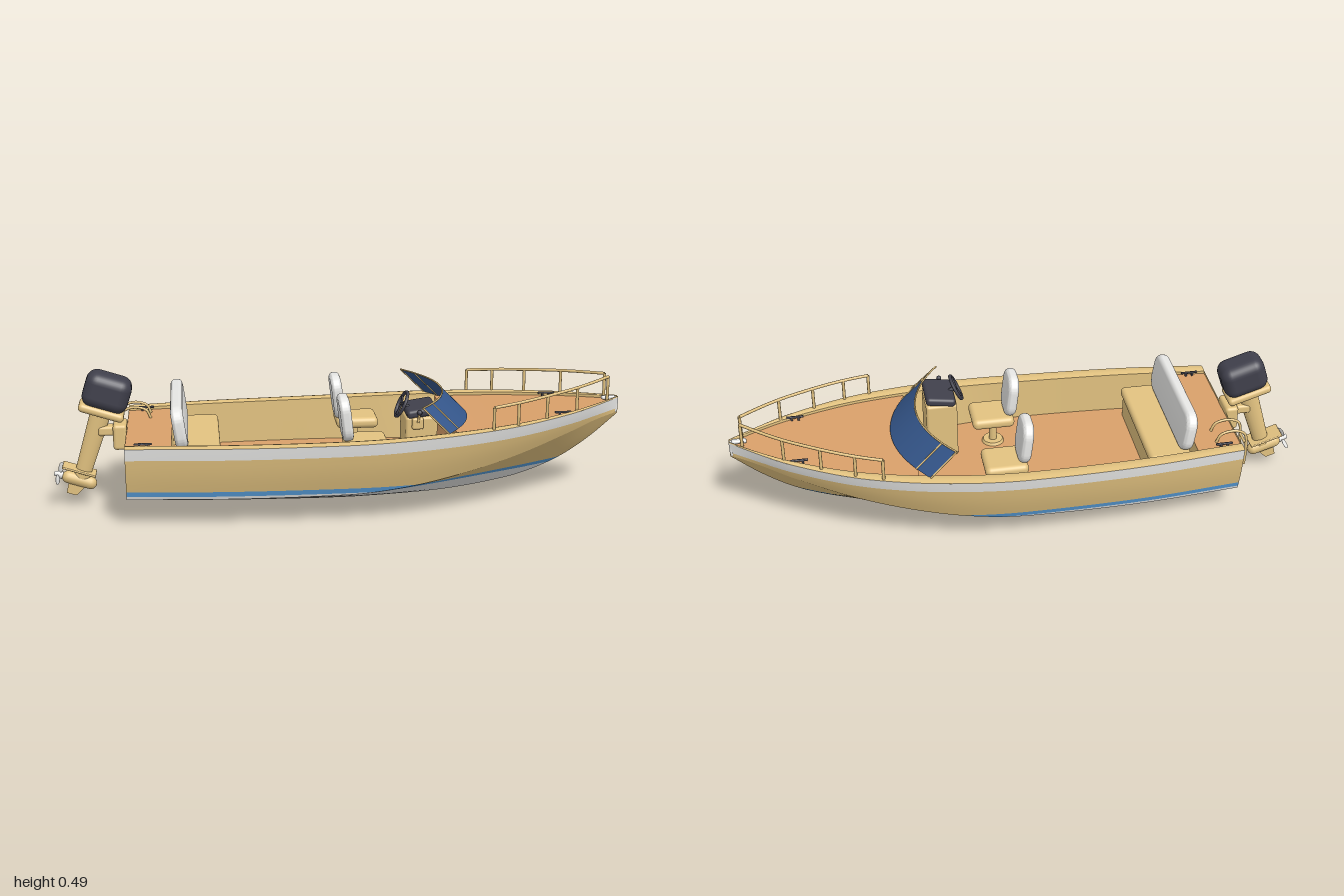
import * as THREE from 'three';
import { RoundedBoxGeometry } from 'three/addons/geometries/RoundedBoxGeometry.js';
import { toCreasedNormals } from 'three/addons/utils/BufferGeometryUtils.js';

const paint = (name, color) => new THREE.MeshStandardMaterial({ name, color, side: THREE.DoubleSide });
const tan = paint('tan', 0xe2c280), white = paint('white', 0xe9e9e7), blue = paint('stripeBlue', 0x589edb);
const wood = paint('deckBrown', 0xd9a06a), navy = paint('screenNavy', 0x35578c), dark = paint('charcoal', 0x40404c);

// Smooth curve through [x, value] points
function curve(p) {
  const slope = i => {
    const a = p[Math.max(i - 1, 0)], b = p[Math.min(i + 1, p.length - 1)];
    return (b[1] - a[1]) / (b[0] - a[0]);
  };
  return x => {
    let i = 0;
    while (i < p.length - 2 && x > p[i + 1][0]) i++;
    const [x0, y0] = p[i], [x1, y1] = p[i + 1], h = x1 - x0, t = (x - x0) / h, s = 1 - t;
    return y0 * (1 + 2 * t) * s * s + y1 * t * t * (3 - 2 * t) + h * t * s * (slope(i) * s - slope(i + 1) * t);
  };
}

// Hull lines
const STERN = -0.74, BOW = 1, SOLE = 0.136, AFT = -0.585, FORE = 0.38;
const keelY = curve([[-0.74, 0.016], [-0.3, 0.004], [0, 0], [0.2, 0.006], [0.4, 0.021], [0.6, 0.055], [0.7, 0.085], [0.8, 0.13], [0.9, 0.197], [1, 0.283]]);
const chineY = curve([[-0.74, 0.098], [0, 0.102], [0.2, 0.12], [0.4, 0.155], [0.6, 0.2], [0.8, 0.253], [0.9, 0.277], [1, 0.29]]);
const chineZ = curve([[-0.74, 0.24], [-0.4, 0.268], [0, 0.275], [0.2, 0.268], [0.4, 0.242], [0.6, 0.194], [0.8, 0.118], [0.9, 0.064], [1, 0.004]]);
const sheerY = curve([[-0.74, 0.285], [0, 0.291], [0.4, 0.306], [0.7, 0.322], [1, 0.344]]);
const sheerZ = curve([[-0.74, 0.275], [-0.4, 0.31], [0, 0.325], [0.2, 0.318], [0.4, 0.292], [0.6, 0.24], [0.8, 0.149], [0.9, 0.084], [1, 0.008]]);
const innerZ = x => Math.max(sheerZ(x) * 0.86 - 0.002, 0.001);
const deckY = x => sheerY(x) - 0.01;
function half(x, y) {
  const k = keelY(x), c = chineY(x), s = sheerY(x);
  if (y <= c) return chineZ(x) * Math.max((y - k) / (c - k), 0) ** 0.94;
  const t = Math.min((y - c) / (s - c), 1);
  return chineZ(x) + (sheerZ(x) - chineZ(x)) * t + 0.02 * sheerZ(x) * Math.sin(Math.PI * t);
}

// Surface from a rule f(u, v)
function grid(n, m, f, flip) {
  const pos = [], idx = [];
  for (let i = 0; i <= n; i++) for (let j = 0; j <= m; j++) pos.push(...f(i / n, j / m));
  for (let i = 0; i < n; i++) for (let j = 0; j < m; j++) {
    const a = i * (m + 1) + j, b = a + m + 1;
    idx.push(...(flip ? [a, a + 1, b, b, a + 1, b + 1] : [a, b, a + 1, b, b + 1, a + 1]));
  }
  const g = new THREE.BufferGeometry();
  g.setAttribute('position', new THREE.Float32BufferAttribute(pos, 3));
  g.setIndex(idx);
  g.computeVertexNormals();
  return g;
}

// Upright cushion with large rounded corners, facing along x
function pad(width, height, thick, r) {
  const b = thick * 0.42, w = width / 2 - b, h = height / 2 - b, s = new THREE.Shape();
  s.absarc(w - r, h - r, r, 0, Math.PI / 2).absarc(r - w, h - r, r, Math.PI / 2, Math.PI);
  s.absarc(r - w, r - h, r, Math.PI, Math.PI * 1.5).absarc(w - r, r - h, r, Math.PI * 1.5, Math.PI * 2);
  const g = new THREE.ExtrudeGeometry(s, { depth: thick - 2 * b, bevelSize: b, bevelThickness: b, bevelSegments: 5, curveSegments: 8 });
  return toCreasedNormals(g.center().rotateY(Math.PI / 2), 0.8);
}

export function createModel() {
  const boat = new THREE.Group();
  boat.name = 'motorBoat';
  const add = (name, geo, mat, x = 0, y = 0, z = 0, parent = boat) => {
    const m = new THREE.Mesh(geo, mat);
    m.name = name;
    m.position.set(x, y, z);
    parent.add(m);
    return m;
  };
  const rbox = (w, h, d, r) => new RoundedBoxGeometry(w, h, d, 4, r);
  const pipe = (pts, r) => new THREE.TubeGeometry(
    new THREE.CatmullRomCurve3(pts.map(p => new THREE.Vector3(...p)), false, 'centripetal'), pts.length * 6, r, 8);
  const { lerp, clamp } = THREE.MathUtils;

  // Painted hull bands, split along the chine crease
  const bands = [
    ['bottom', white, () => 0, () => 0.109], ['stripe', blue, () => 0.109, () => 0.127],
    ['topside', tan, () => 0.127, x => sheerY(x) - 0.041], ['sheerBand', white, x => sheerY(x) - 0.041, sheerY]];
  const panels = [[keelY, chineY], [chineY, sheerY]];
  for (const s of [1, -1]) {
    for (const [name, mat, a, b] of bands) for (const [lo, hi] of panels)
      add(name, grid(90, 5, (u, v) => {
        const x = lerp(STERN, BOW, u);
        const y = lerp(clamp(a(x), lo(x), hi(x)), clamp(b(x), lo(x), hi(x)), v);
        return [x, y, s * half(x, y)];
      }, s < 0), mat);
    // Gunwale cap, its inner lip and the cockpit lining
    add('gunwale', grid(70, 3, (u, v) => {
      const x = lerp(STERN, BOW, u);
      return [x, sheerY(x) + 0.004 * Math.sin(Math.PI * v), s * lerp(sheerZ(x), innerZ(x), v)];
    }, s < 0), tan);
    add('gunwaleLip', grid(70, 1, (u, v) => {
      const x = lerp(STERN, BOW, u);
      return [x, lerp(sheerY(x), deckY(x) - 0.002, v), s * innerZ(x)];
    }, s < 0), tan);
    add('cockpitSide', grid(40, 2, (u, v) => {
      const x = lerp(AFT, FORE, u);
      return [x, lerp(deckY(x), SOLE, v), s * lerp(innerZ(x), Math.min(innerZ(x), half(x, SOLE) - 0.012), v)];
    }, s < 0), tan);
  }
  // Transom
  const transom = (y0, y1) => grid(8, 2, (u, v) => {
    const y = lerp(y0, y1, u);
    return [STERN, y, lerp(-1, 1, v) * half(STERN, y)];
  }, true);
  add('transomBottom', transom(keelY(STERN), 0.1), white);
  add('transom', transom(0.1, sheerY(STERN)), tan);
  add('stemFitting', rbox(0.02, 0.056, 0.022, 0.006), white, 0.988, 0.316, 0);
  add('bowRoller', rbox(0.05, 0.012, 0.02, 0.005), white, 0.965, 0.342, 0);

  // Decks, cockpit floor and bulkheads
  const deck = (x0, x1, y, w) => grid(40, 2, (u, v) => {
    const x = lerp(x0, x1, u);
    return [x, y(x), lerp(1, -1, v) * w(x)];
  });
  add('foredeck', deck(FORE, 0.985, deckY, innerZ), wood);
  add('aftDeck', deck(STERN, AFT, deckY, innerZ), wood);
  add('cockpitFloor', deck(AFT, FORE, () => SOLE, x => half(x, SOLE) - 0.01), wood);
  for (const [x, mat] of [[AFT, tan], [FORE, wood]])
    add('bulkhead', grid(1, 1, (u, v) => [x, lerp(SOLE, deckY(x), v),
      lerp(-1, 1, u) * (v ? innerZ(x) : half(x, SOLE) - 0.01)]), mat);

  // Rear bench
  add('benchBase', new THREE.BoxGeometry(0.14, 0.09, 0.44), tan, -0.5, SOLE + 0.045, 0);
  add('benchCushion', rbox(0.15, 0.036, 0.46, 0.016), tan, -0.495, 0.24, 0);
  add('benchBack', pad(0.46, 0.15, 0.042, 0.035), white, -0.558, 0.328, 0).rotation.z = 0.14;

  // Pedestal seats
  for (const z of [0.145, -0.145]) {
    const seat = new THREE.Group();
    seat.name = 'seat';
    seat.position.set(0.07, SOLE, z);
    boat.add(seat);
    add('seatFoot', new THREE.CylinderGeometry(0.035, 0.04, 0.01, 20), tan, 0, 0.005, 0, seat);
    add('seatPost', new THREE.CylinderGeometry(0.014, 0.014, 0.1, 14), tan, 0, 0.05, 0, seat);
    add('seatCushion', rbox(0.15, 0.04, 0.14, 0.018), tan, 0.005, 0.112, 0, seat);
    add('seatBack', pad(0.135, 0.16, 0.038, 0.035), white, -0.064, 0.202, 0, seat).rotation.z = 0.12;
  }

  // Helm console, throttle and wheel
  add('console', rbox(0.11, 0.215, 0.14, 0.01), tan, 0.26, SOLE + 0.107, 0.145);
  add('dashPad', rbox(0.105, 0.03, 0.145, 0.012), dark, 0.262, 0.364, 0.145).rotation.z = 0.15;
  add('throttleMount', rbox(0.04, 0.04, 0.016, 0.007), tan, 0.245, 0.33, 0.22);
  add('throttleLever', pipe([[0.245, 0.335, 0.229], [0.25, 0.368, 0.229]], 0.004), tan);
  add('throttleKnob', new THREE.SphereGeometry(0.009, 12, 8), dark, 0.25, 0.37, 0.229);
  const wheel = new THREE.Group();
  wheel.name = 'steeringWheel';
  wheel.position.set(0.2, 0.379, 0.145);
  wheel.rotation.set(0, Math.PI / 2, -0.45, 'ZYX');
  boat.add(wheel);
  add('wheelRim', new THREE.TorusGeometry(0.045, 0.006, 8, 32), dark, 0, 0, 0, wheel);
  for (let i = 0; i < 3; i++) {
    const a = i * 2.094 + 0.52;
    add('wheelSpoke', pipe([[0, 0, 0], [0.045 * Math.cos(a), 0.045 * Math.sin(a), 0]], 0.004), dark, 0, 0, 0, wheel);
  }
  add('steeringColumn', pipe([[0.2, 0.379, 0.145], [0.245, 0.357, 0.145]], 0.008), dark);

  // Curved windscreen with frame
  const screen = (u, v) => {
    const q = lerp(-1, 1, u);
    return [lerp(0.45, 0.36, v) - 0.105 * q * q, lerp(0.306, 0.396, v), q * lerp(0.275, 0.266, v)];
  };
  add('windscreen', grid(32, 4, screen), navy);
  const steps = [...Array(13).keys()].map(i => i / 12);
  add('windscreenTopFrame', pipe(steps.map(u => screen(u, 1)), 0.003), tan);
  for (const u of [0, 0.11, 0.89, 1]) add('windscreenPost', pipe([screen(u, 0), screen(u, 1)], 0.003), tan);

  // Bow rails and cleats
  const railY = x => lerp(0.389, 0.424, (x - 0.5) / 0.455);
  const railZ = x => Math.max(sheerZ(x) - 0.01 - 0.02 * (x - 0.5), 0.018);
  for (const s of [1, -1]) {
    add('bowRail', pipe([0.5, 0.55, 0.6, 0.65, 0.7, 0.75, 0.8, 0.85, 0.9, 0.955].map(x => [x, railY(x), s * railZ(x)]), 0.0055), tan);
    for (const x of [0.5, 0.59, 0.7, 0.82, 0.955])
      add('railPost', pipe([[x, sheerY(x) - 0.004, s * railZ(x)], [x, railY(x), s * railZ(x)]], 0.0055), tan);
    for (const [x, z] of [[0.77, 0.13], [-0.68, 0.23]]) {
      const y = deckY(x);
      add('cleatBar', rbox(0.06, 0.007, 0.009, 0.003), dark, x, y + 0.013, s * z);
      for (const d of [-0.012, 0.012]) add('cleatFoot', new THREE.BoxGeometry(0.007, 0.014, 0.008), dark, x + d, y + 0.006, s * z);
    }
  }

  // Boarding ladder over the transom
  for (const z of [-0.2, -0.13])
    add('ladderRail', pipe([[-0.66, 0.276, z], [-0.675, 0.305, z], [-0.72, 0.316, z], [-0.76, 0.3, z], [-0.77, 0.245, z], [-0.768, 0.172, z]], 0.005), tan);
  for (const y of [0.182, 0.217, 0.252])
    add('ladderRung', pipe([[-0.769, y, -0.2], [-0.769, y, -0.13]], 0.005), tan);

  // Tilted outboard motor
  const motor = new THREE.Group();
  motor.name = 'outboardMotor';
  motor.position.set(-0.826, 0.341, 0);
  motor.rotation.z = -0.315;
  boat.add(motor);
  add('motorBracket', rbox(0.048, 0.09, 0.1, 0.012), tan, -0.763, 0.258, 0);
  add('mountArm', rbox(0.07, 0.034, 0.05, 0.01), tan, -0.805, 0.275, 0);
  add('cowl', rbox(0.16, 0.125, 0.115, 0.038), dark, 0, 0.075, 0, motor);
  add('cowlPan', rbox(0.16, 0.03, 0.104, 0.014), tan, 0, 0.005, 0, motor);
  const leg = add('leg', new THREE.CylinderGeometry(0.036, 0.027, 0.262, 20), tan, 0, -0.131, 0, motor);
  leg.scale.z = 0.7;
  add('cavitationPlate', rbox(0.12, 0.008, 0.075, 0.003), tan, -0.015, -0.223, 0, motor);
  const gear = add('gearcase', new THREE.CapsuleGeometry(0.022, 0.08, 6, 16), tan, -0.005, -0.26, 0, motor);
  gear.rotation.z = Math.PI / 2;
  const fin = new THREE.Shape([[-0.04, -0.262], [0.03, -0.262], [0, -0.317], [-0.035, -0.317]].map(p => new THREE.Vector2(...p)));
  add('skeg', new THREE.ExtrudeGeometry(fin, { depth: 0.008, bevelEnabled: false }), tan, 0, 0, -0.004, motor);
  const hub = add('propellerHub', new THREE.CylinderGeometry(0.008, 0.014, 0.03, 14), white, -0.08, -0.26, 0, motor);
  hub.rotation.z = Math.PI / 2;
  for (let i = 0; i < 3; i++) {
    const arm = new THREE.Group();
    arm.name = 'propellerBlade';
    arm.position.set(-0.078, -0.26, 0);
    arm.rotation.x = i * Math.PI * 2 / 3;
    motor.add(arm);
    const blade = add('blade', new THREE.SphereGeometry(0.02, 14, 10), white, 0, 0.026, 0, arm);
    blade.scale.set(0.15, 1, 0.75);
    blade.rotation.y = 0.6;
  }
  return boat;
}
